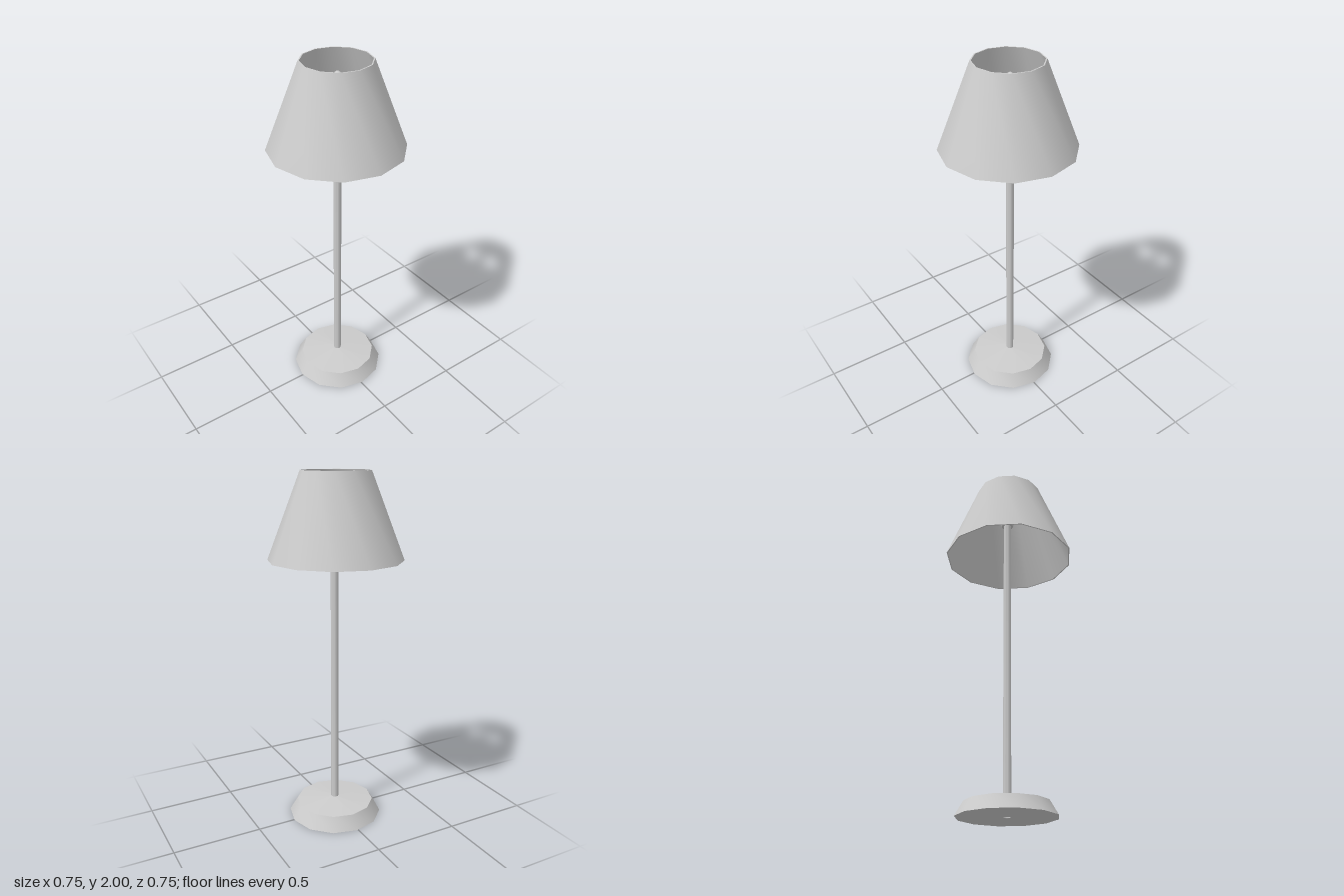
import * as THREE from 'three';
import { toCreasedNormals } from 'three/addons/utils/BufferGeometryUtils.js';

export function createModel() {
  const lamp = new THREE.Group();
  lamp.name = 'tableLamp';
  const material = new THREE.MeshStandardMaterial({ color: 0xcccccc, side: THREE.DoubleSide });

  // Twelve-sided turned part from [radius, height] pairs, smooth around, sharp at its rims
  function turned(name, profile, parent) {
    const points = profile.map(([r, y]) => new THREE.Vector2(r, y));
    const geometry = toCreasedNormals(new THREE.LatheGeometry(points, 12), 0.7);
    const mesh = new THREE.Mesh(geometry, material);
    mesh.name = name;
    parent.add(mesh);
  }

  // Thin hollow shade, open at both ends
  turned('shade', [
    [0.368, 1.525], [0.375, 1.525], [0.19, 2], [0.183, 2], [0.368, 1.525],
  ], lamp);

  // The stand sits very slightly off the shade's axis
  const stand = new THREE.Group();
  stand.name = 'stand';
  stand.position.set(-0.004, 0, -0.009);
  lamp.add(stand);

  // Bevelled foot with a gently domed top and a cable hole below
  turned('base', [
    [0.021, 0], [0.271, 0], [0.225, 0.078], [0.022, 0.096],
  ], stand);

  // Hollow pole
  turned('pole', [[0.022, 0.002], [0.022, 1.8]], stand);

  // Socket cup holding the bulb
  turned('socket', [
    [0, 1.76], [0.035, 1.76], [0.053, 1.82], [0, 1.82],
  ], stand);

  // Slender rounded bulb
  const bulb = new THREE.Mesh(new THREE.SphereGeometry(0.032, 12, 12), material);
  bulb.name = 'bulb';
  bulb.scale.y = 2;
  bulb.position.y = 1.875;
  stand.add(bulb);

  return lamp;
}
